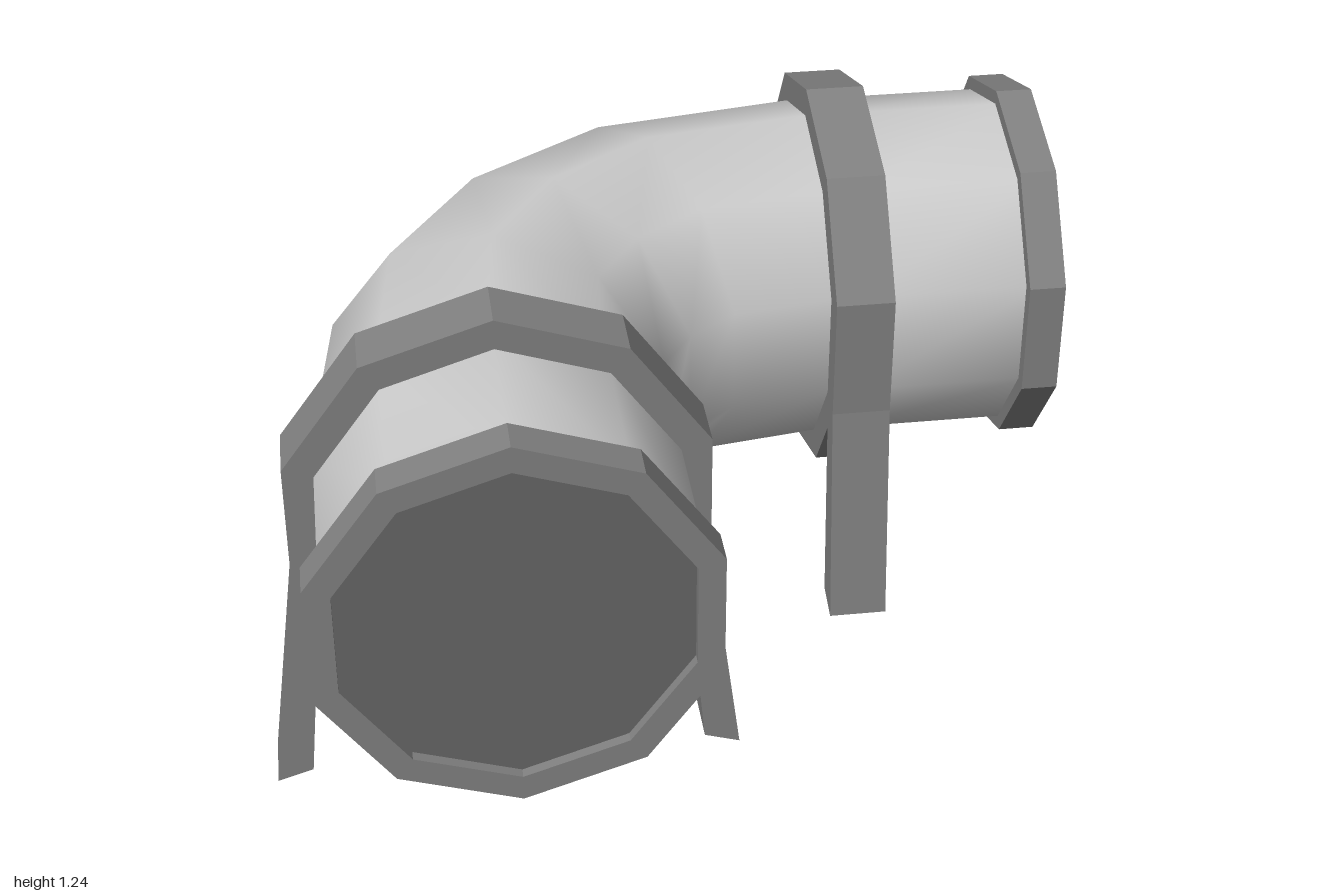
import * as THREE from 'three';

const SIDES = 10, AXIS_Y = 0.73, OFFSET = -0.445;
const dark = new THREE.MeshStandardMaterial({ color: 0x808080, flatShading: true });
const capGrey = new THREE.MeshStandardMaterial({ color: 0x666666, flatShading: true });
const light = new THREE.MeshStandardMaterial({ color: 0xcccccc });

// Ten-sided outline with a corner at the top
function decagon(r) {
  return Array.from({ length: SIDES }, (_, k) => {
    const a = (k / SIDES) * Math.PI * 2;
    return new THREE.Vector2(-Math.sin(a) * r, Math.cos(a) * r);
  });
}

// Plate of the given outline with a ten-sided hole, from z0 to z1
function plate(name, outline, holeR, z0, z1) {
  const shape = new THREE.Shape(outline);
  shape.holes.push(new THREE.Path(decagon(holeR).reverse()));
  const geo = new THREE.ExtrudeGeometry(shape, { depth: z1 - z0, bevelEnabled: false });
  geo.translate(0, 0, z0);
  const mesh = new THREE.Mesh(geo, dark);
  mesh.name = name;
  return mesh;
}

// Smooth pipe lofted through ten-sided rings, each given by its outer and inner plan point
function pipe() {
  const rings = [
    [-0.855, 0.95, -0.035, 0.95], [-0.855, 0.5, -0.035, 0.5], [-0.858, 0.42, -0.038, 0.42],
    [-0.795, -0.08, -0.025, 0.2], [-0.54, -0.485, 0.055, 0.085], [-0.15, -0.755, 0.175, 0],
    [0.42, -0.855, 0.42, -0.035], [0.5, -0.855, 0.5, -0.035], [0.95, -0.855, 0.95, -0.035],
  ];
  const pos = [], index = [];
  const widest = Math.sin(Math.PI * 0.4);
  rings.forEach(([ox, oz, ix, iz], i) => {
    for (let k = 0; k < SIDES; k++) {
      const a = (k / SIDES) * Math.PI * 2;
      const s = Math.sin(a) / widest / 2;
      pos.push((ox + ix) / 2 + (ix - ox) * s, AXIS_Y + 0.433 * Math.cos(a), (oz + iz) / 2 + (iz - oz) * s);
      if (i === 0) continue;
      const n = (k + 1) % SIDES;
      const p = (i - 1) * SIDES, q = i * SIDES;
      index.push(p + k, p + n, q + k, p + n, q + n, q + k);
    }
  });
  const geo = new THREE.BufferGeometry();
  geo.setAttribute('position', new THREE.Float32BufferAttribute(pos, 3));
  geo.setIndex(index);
  geo.computeVertexNormals();
  const mesh = new THREE.Mesh(geo, light);
  mesh.name = 'bentPipe';
  return mesh;
}

// Rim, recessed cap and clamp with two splayed legs, facing local +z
function pipeEnd(name) {
  const end = new THREE.Group();
  end.name = name;
  end.add(plate('endRim', decagon(0.468), 0.405, 0.91, 1));

  const cap = new THREE.Mesh(new THREE.ShapeGeometry(new THREE.Shape(decagon(0.41))), capGrey);
  cap.position.z = 0.975;
  cap.name = 'endCap';
  end.add(cap);

  // Left half of the clamp outline, mirrored for the right
  const half = [
    [-0.297, 0.409], [-0.48, 0.156], [-0.48, -0.156],
    [-0.555, -0.73], [-0.47, -0.703], [-0.425, -0.232], [-0.297, -0.409],
  ];
  const outline = [[0, 0.505], ...half, [0, -0.505], ...half.map(([x, y]) => [-x, y]).reverse()];
  end.add(plate('clampWithLegs', outline.map(([x, y]) => new THREE.Vector2(x, y)), 0.425, 0.42, 0.565));
  return end;
}

export function createModel() {
  const model = new THREE.Group();
  model.name = 'pipeElbow';
  model.add(pipe());

  const front = pipeEnd('frontEnd');
  front.position.set(OFFSET, AXIS_Y, 0);
  const side = pipeEnd('leftEnd');
  side.position.set(0, AXIS_Y, OFFSET);
  side.rotation.y = Math.PI / 2;
  model.add(front, side);
  return model;
}
